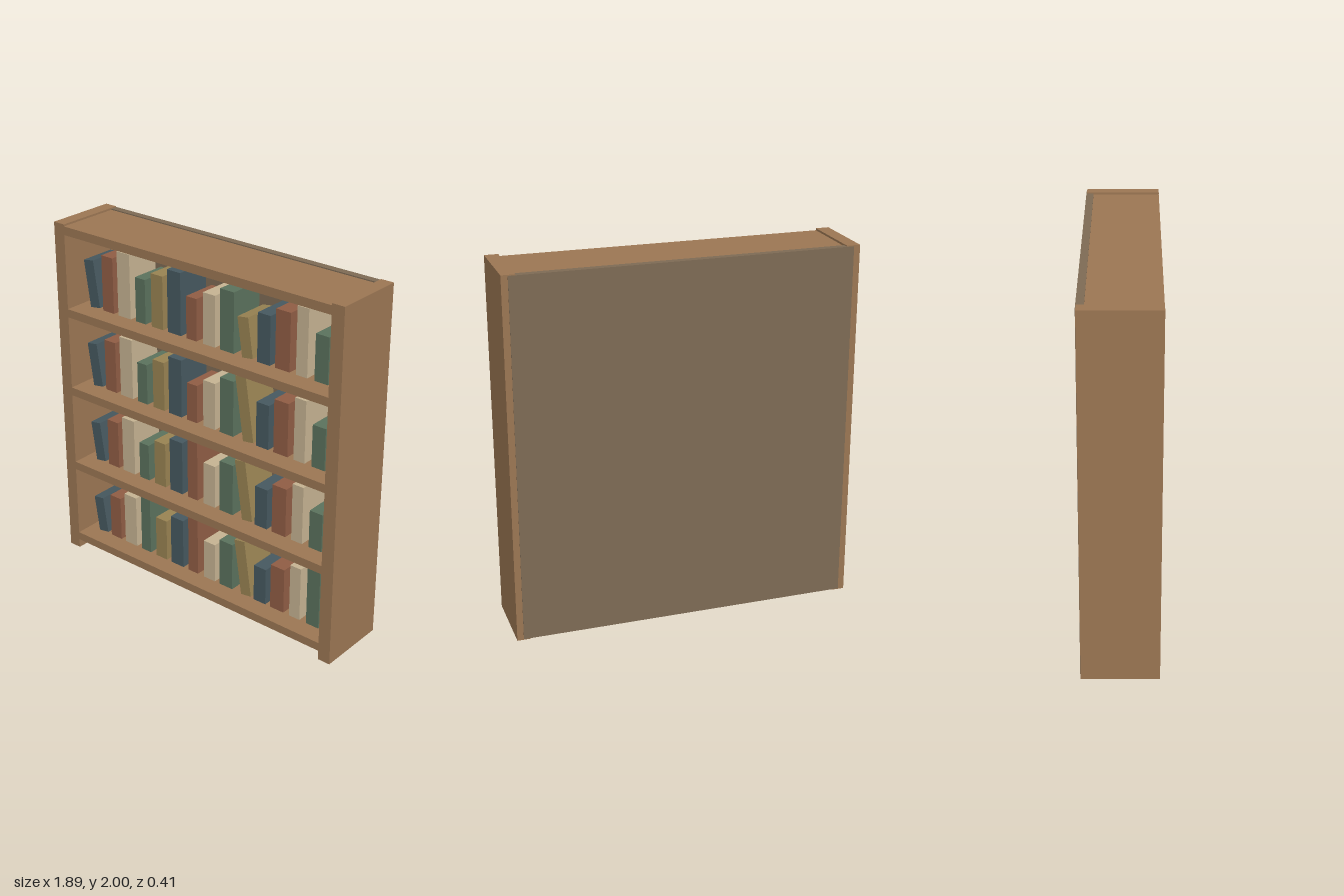
import * as THREE from 'three';

const paint = (color) => new THREE.MeshStandardMaterial({ color });

export function createModel() {
  const model = new THREE.Group();
  model.name = 'bookcase';
  const wood = paint(0x9b7653);
  const backWood = paint(0x7d6a54);
  const covers = [0x46585f, 0x8f5c44, 0xc4b291, 0x5a715c, 0x988252].map(paint);

  // Adds a box given its size and centre
  const addBox = (parent, name, material, [w, h, d], [x, y, z]) => {
    const mesh = new THREE.Mesh(new THREE.BoxGeometry(w, h, d), material);
    mesh.name = name;
    mesh.position.set(x, y, z);
    parent.add(mesh);
    return mesh;
  };

  // Side panels
  for (const side of [-1, 1]) {
    addBox(model, side > 0 ? 'leftSide' : 'rightSide', wood,
      [0.073, 2, 0.403], [side * 0.9085, 1, 0.0015]);
  }

  // Back panel, let into the sides and standing slightly proud behind
  addBox(model, 'backPanel', backWood, [1.82, 1.99, 0.04], [0, 1, -0.183]);

  // Five boards: four shelves and the top
  const pitch = 0.472;
  for (let i = 0; i < 5; i++) {
    addBox(model, i < 4 ? 'shelf' : 'topBoard', wood,
      [1.744, 0.048, 0.366], [0, 0.077 + i * pitch, 0.02]);
  }

  // Rows of books; widths, heights and covers cycle along each row
  const widths = [0.069, 0.08, 0.09];
  for (let row = 0; row < 4; row++) {
    const books = new THREE.Group();
    books.name = 'bookRow';
    books.position.y = 0.111 + row * pitch;
    for (let i = 0; i < 14; i++) {
      const height = 0.218 + ((i * 3 + row) % 10) * 0.0163;
      const book = addBox(books, 'book', covers[i % 5],
        [widths[i % 3], height, 0.205], [-0.773 + i * 0.118, height / 2, 0.007]);
      if (i % 9 === 0) book.rotation.z = 0.15; // leaning books
    }
    model.add(books);
  }
  return model;
}
